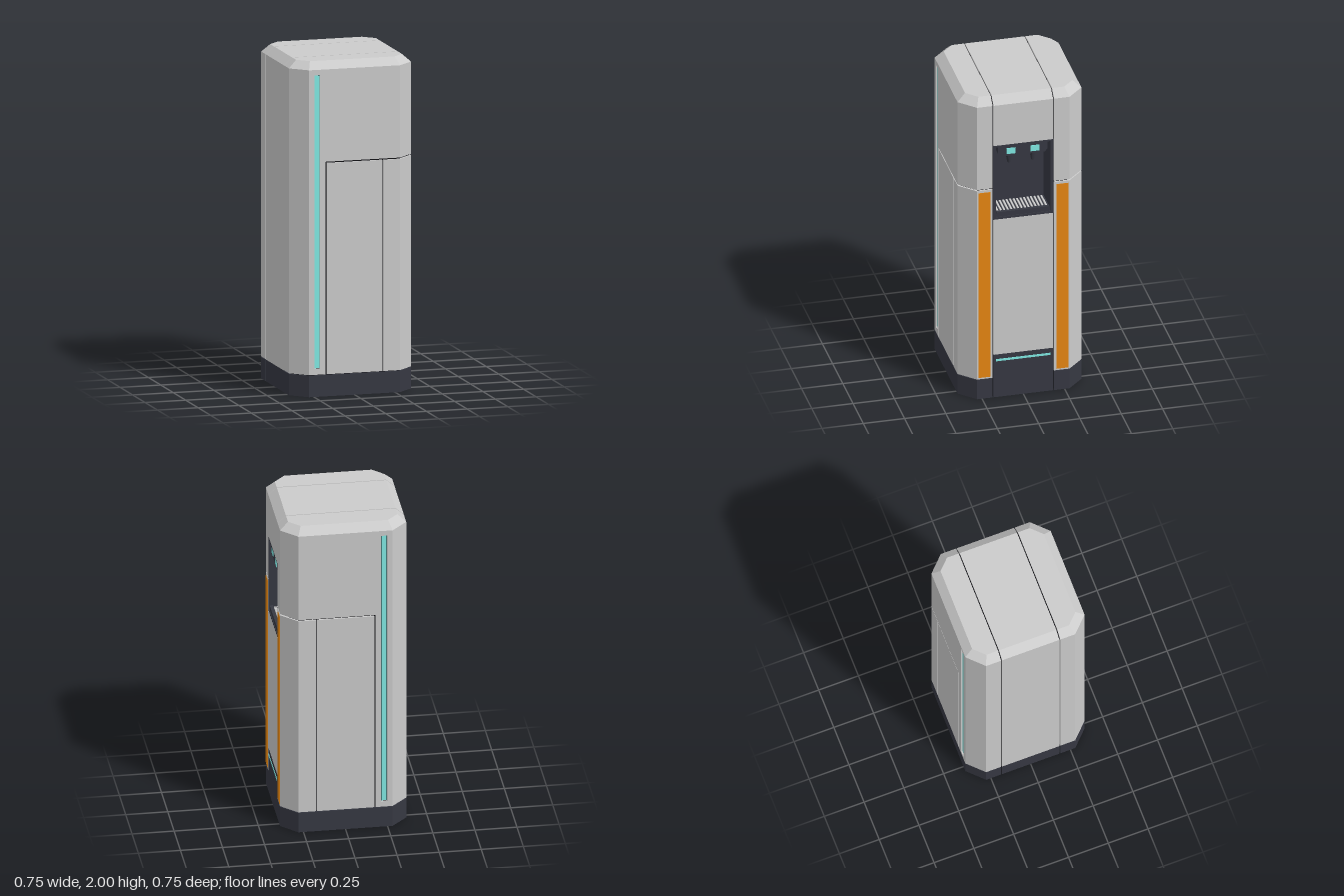
import * as THREE from 'three';
import { ConvexGeometry } from 'three/addons/geometries/ConvexGeometry.js';

const mat = (color) => new THREE.MeshStandardMaterial({ color, flatShading: true });
const GREY = mat(0xcccccc), DARK = mat(0x363842), BLACK = mat(0x101014);
const TEAL = mat(0x80eae4), ORANGE = mat(0xe68612);

function add(parent, name, geometry, material) {
  const mesh = new THREE.Mesh(geometry, material);
  mesh.name = name;
  parent.add(mesh);
  return mesh;
}

// Box given by its min and max on each axis
function box(parent, name, material, [x0, x1], [y0, y1], [z0, z1]) {
  const g = new THREE.BoxGeometry(x1 - x0, y1 - y0, z1 - z0);
  g.translate((x0 + x1) / 2, (y0 + y1) / 2, (z0 + z1) / 2);
  return add(parent, name, g, material);
}

const shape = (pts) => new THREE.Shape(pts.map(([x, y]) => new THREE.Vector2(x, y)));
const rect = (x0, x1, y0, y1) => [[x0, y0], [x1, y0], [x1, y1], [x0, y1]];

// Outline in x-y with optional holes, extruded from z0 to z1
function plate(parent, name, material, outline, z0, z1, holes = []) {
  const s = shape(outline);
  s.holes = holes.map(shape);
  const g = new THREE.ExtrudeGeometry(s, { depth: z1 - z0, bevelEnabled: false });
  return add(parent, name, g.translate(0, 0, z0), material);
}

// Outline in x-z, extruded from y0 to y1
function column(parent, name, material, outline, y0, y1) {
  const s = shape(outline.map(([x, z]) => [x, -z]));
  const g = new THREE.ExtrudeGeometry(s, { depth: y1 - y0, bevelEnabled: false });
  return add(parent, name, g.rotateX(-Math.PI / 2).translate(0, y0, 0), material);
}

// Chamfered slab as the hull of levels [y, half width, chamfer start], from z0 to the front
function slab(parent, name, material, z0, levels) {
  const pts = [];
  for (const [y, w, c] of levels)
    for (const s of [-1, 1])
      for (const [x, z] of [[w, z0], [w, c], [c, w]]) pts.push(new THREE.Vector3(s * x, y, z));
  return add(parent, name, new ConvexGeometry(pts), material);
}

// Front third of the casing; the rear third is its mirror image
function sideSection(name) {
  const g = new THREE.Group();
  g.name = name;
  slab(g, 'base', DARK, 0.186, [[0, 0.375, 0.28], [0.128, 0.375, 0.28]]);
  slab(g, 'seamCore', BLACK, 0.17,
    [[0.004, 0.365, 0.274], [1.95, 0.365, 0.274], [1.99, 0.318, 0.256]]);
  slab(g, 'bevelledTop', GREY, 0.186, [[1.955, 0.375, 0.28], [2, 0.325, 0.26]]);

  // Corner posts; the +x one is split by the horizontal seam
  const post = (s) => [[0.375, 0.186], [0.375, 0.28], [0.28, 0.375], [0.28, 0.355], [0.25, 0.355], [0.25, 0.186]]
    .map(([x, z]) => [s * x, z]);
  column(g, 'cornerPost', GREY, post(-1), 0.132, 1.955);
  column(g, 'lowerCornerPost', GREY, post(1), 0.132, 1.395);
  column(g, 'upperCornerPost', GREY, post(1), 1.403, 1.955);

  // Face panel with a slot for the light, and the panels below the seam.
  // The panels stand in front of the core, which shows dark in the gaps.
  plate(g, 'facePanel', GREY, [[-0.28, 0.132], [-0.179, 0.132], [-0.179, 1.403],
    [0.28, 1.403], [0.28, 1.955], [-0.28, 1.955]], 0.355, 0.375,
  [rect(-0.248, -0.212, 0.167, 1.923)]);
  plate(g, 'doorPanel', GREY, rect(-0.171, 0.17, 0.132, 1.395), 0.355, 0.375);
  plate(g, 'doorSidePanel', GREY, rect(0.176, 0.28, 0.132, 1.395), 0.355, 0.375);
  box(g, 'lightStrip', TEAL, [-0.245, -0.215], [0.17, 1.92], [0.35, 0.368]);
  box(g, 'orangePanel', ORANGE, [0.36, 0.377], [0.142, 1.38], [0.2, 0.272]);
  return g;
}

function dispenser() {
  const g = new THREE.Group();
  g.name = 'dispenser';
  const y0 = 1.19, y1 = 1.685, back = 0.205, front = 0.374;
  // Lining of the niche
  box(g, 'nicheBack', DARK, [back - 0.02, back], [y0, y1], [-0.18, 0.18]);
  box(g, 'nicheCeiling', DARK, [back, front], [y1 - 0.012, y1], [-0.18, 0.18]);
  box(g, 'nicheFloor', DARK, [back, front], [y0, y0 + 0.014], [-0.18, 0.18]);
  for (const s of [-1, 1])
    box(g, 'nicheWall', DARK, [back, front], [y0, y1], s > 0 ? [0.165, 0.182] : [-0.182, -0.165]);

  // Drip tray with grille bars
  box(g, 'dripTray', DARK, [back, 0.36], [y0 + 0.012, 1.222], [-0.165, 0.165]);
  box(g, 'trayLip', DARK, [0.35, 0.37], [y0 + 0.012, 1.235], [-0.16, 0.16]);
  for (let i = 0; i < 15; i++) {
    const z = -0.147 + i * 0.021;
    box(g, 'grilleBar', GREY, [back + 0.012, 0.346], [1.222, 1.23], [z - 0.005, z + 0.005]);
  }

  // Tap housing with clipped lower corners
  const h = 0.15, c = 0.02;
  const housing = plate(g, 'tapHousing', DARK,
    [[-h + c, 1.602], [h - c, 1.602], [h, 1.622], [h, 1.674], [-h, 1.674], [-h, 1.622]], 0, 0.16);
  housing.rotation.y = Math.PI / 2;
  housing.position.x = back;
  for (const s of [-1, 1]) {
    const z = s * 0.072;
    box(g, 'button', TEAL, [0.35, 0.369], [1.617, 1.655], [z - 0.027, z + 0.027]);
    const nozzle = add(g, 'nozzle', new THREE.CylinderGeometry(0.023, 0.011, 0.068, 12), DARK);
    nozzle.position.set(0.315, 1.57, z);
  }
  return g;
}

export function createModel() {
  const model = new THREE.Group();
  model.name = 'waterDispenser';

  const frontSection = sideSection('frontSection');
  const rearSection = sideSection('rearSection');
  rearSection.scale.z = -1;
  model.add(frontSection, rearSection);

  // Middle section with cut-outs for the niche and the kick panel
  plate(model, 'middleBody', GREY, [[-0.375, 0.13], [0.34, 0.13], [0.34, 0.285], [0.375, 0.285],
    [0.375, 1.19], [0.19, 1.19], [0.19, 1.685], [0.375, 1.685], [0.375, 1.955],
    [0.325, 2], [-0.325, 2], [-0.375, 1.955]], -0.18, 0.18);
  box(model, 'middleBase', DARK, [-0.375, 0.375], [0, 0.13], [-0.18, 0.18]);
  box(model, 'kickPanel', DARK, [0.33, 0.375], [0.13, 0.285], [-0.18, 0.18]);
  box(model, 'kickLight', TEAL, [0.36, 0.377], [0.24, 0.254], [-0.165, 0.165]);

  model.add(dispenser());
  return model;
}
